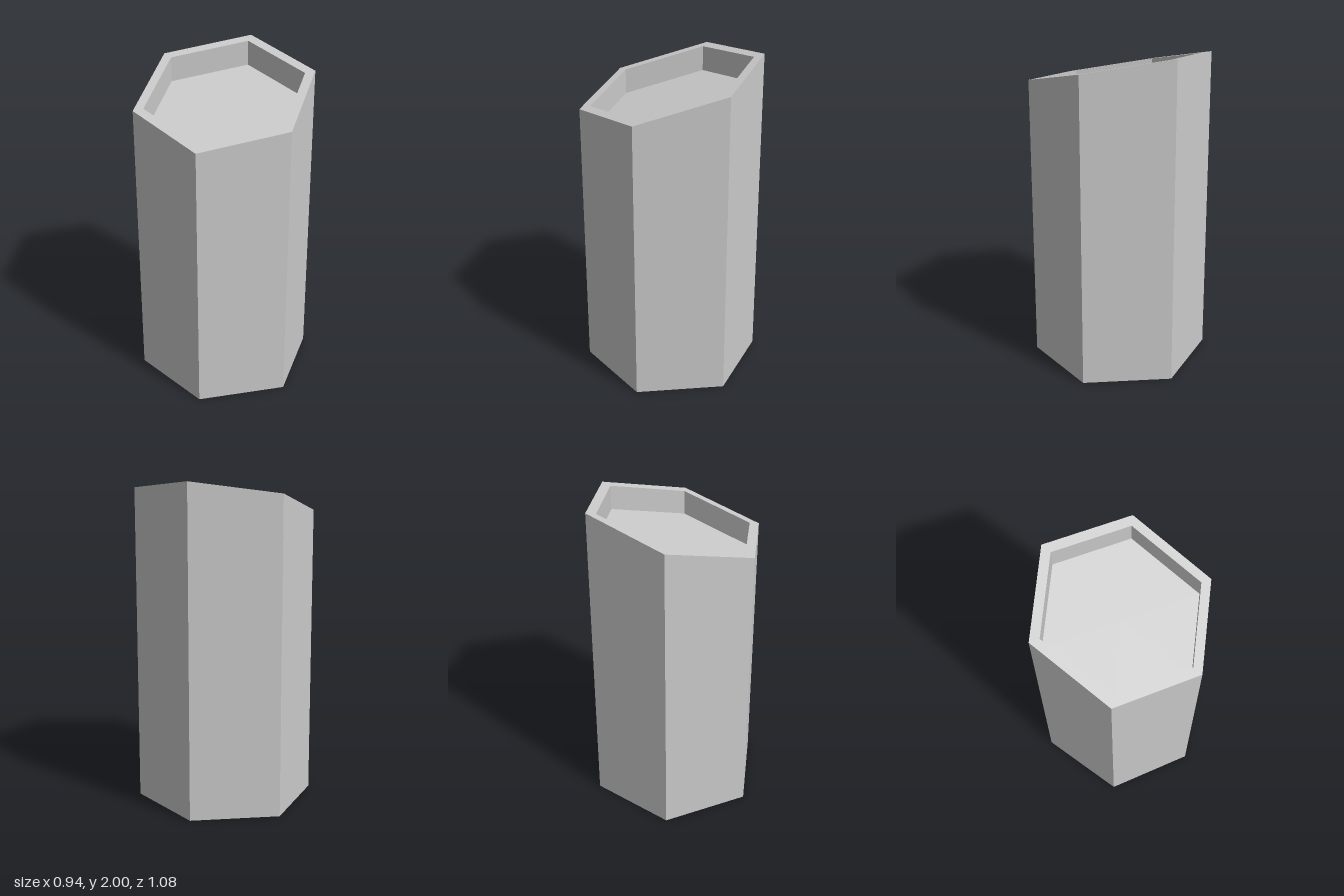
import * as THREE from 'three';

const OUTER = 0.54, INNER = 0.478;   // hexagon corner radii
const MID = 1.852, SLOPE = 0.274;    // slanted top plane: y = MID - SLOPE * z
const DEPTH = 0.154;                 // recess depth

export function createModel() {
  const group = new THREE.Group();
  group.name = 'hexagonalColumn';

  // closed profile: base, outer wall, rim, recess wall, recess floor
  const profile = [
    [0, 0], [OUTER, 0], [OUTER, MID], [INNER, MID], [INNER, MID - DEPTH], [0, MID - DEPTH],
  ].map(([r, y]) => new THREE.Vector2(r, y));
  const geometry = new THREE.LatheGeometry(profile, 6).toNonIndexed();

  // slant the rim and the recess floor down towards the front
  const pos = geometry.attributes.position;
  for (let i = 0; i < pos.count; i++) {
    if (pos.getY(i) > 0) pos.setY(i, pos.getY(i) - SLOPE * pos.getZ(i));
  }
  geometry.computeVertexNormals();

  const column = new THREE.Mesh(
    geometry,
    new THREE.MeshStandardMaterial({ color: 0xcccccc, flatShading: true }),
  );
  column.name = 'columnWithRecessedTop';
  group.add(column);
  return group;
}
